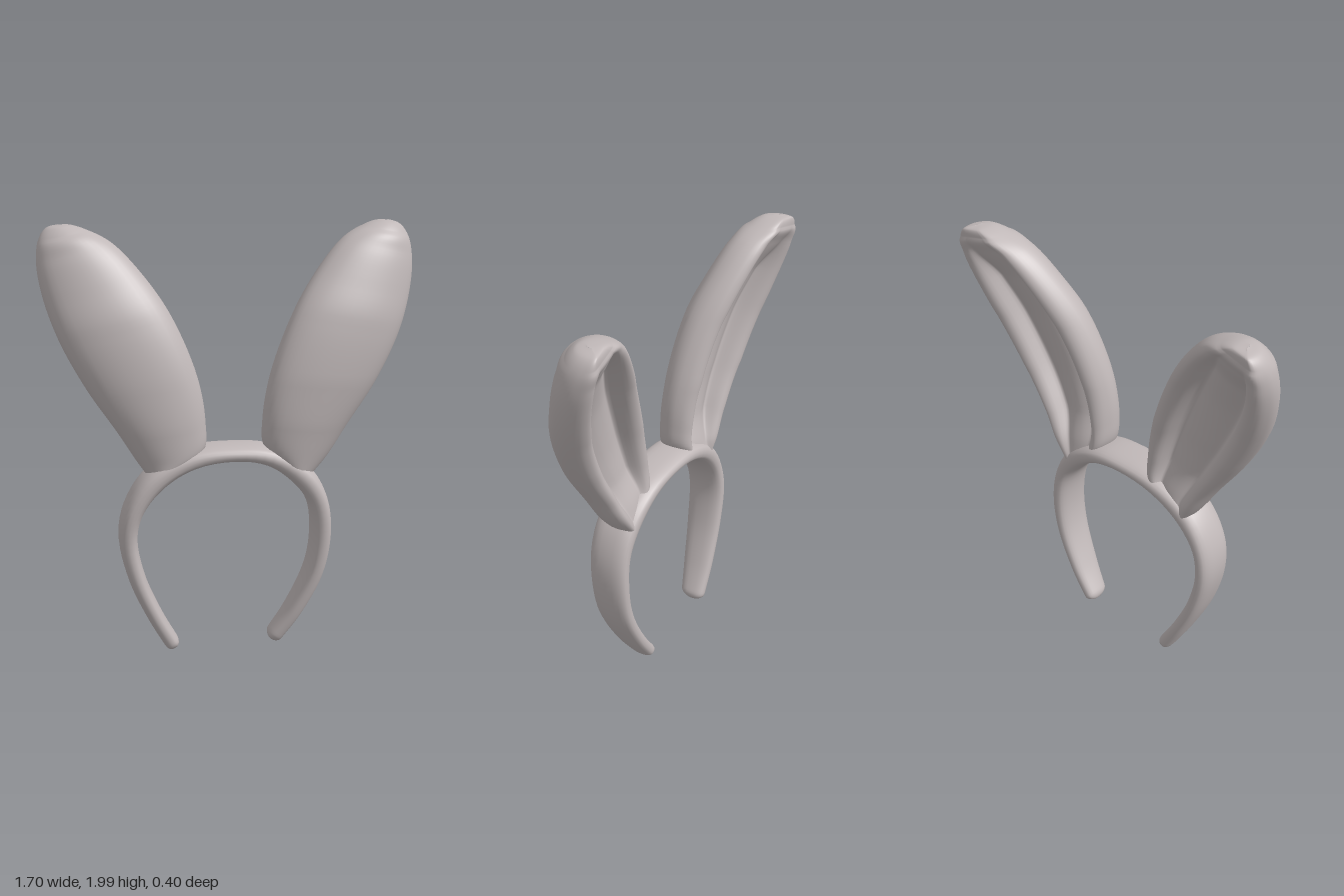
import * as THREE from 'three';

const greyPink = new THREE.MeshStandardMaterial({ color: 0xc0b8b8 });
greyPink.name = 'greyPink';

const v = (x, y, z) => new THREE.Vector3(x, y, z);

// Smooth skin over a list of closed rings, each a list of points
function loft(rings, name) {
  const n = rings[0].length, index = [];
  for (let i = 0; i < rings.length - 1; i++) {
    for (let j = 0; j < n; j++) {
      const k = (j + 1) % n;
      const a = i * n + j, b = i * n + k, c = a + n, d = b + n;
      index.push(a, b, d, a, d, c);
    }
  }
  const geo = new THREE.BufferGeometry().setFromPoints(rings.flat());
  geo.setIndex(index);
  geo.computeVertexNormals();
  const mesh = new THREE.Mesh(geo, greyPink);
  mesh.name = name;
  return mesh;
}

// Headband: x, y, depth centre, half thickness, half depth
const BAND = [
  [-0.275, 0.01, 0.012, 0.035, 0.06],
  [-0.37, 0.19, 0.03, 0.036, 0.078],
  [-0.455, 0.4, 0.047, 0.039, 0.09],
  [-0.49, 0.6, 0.055, 0.042, 0.095],
  [-0.46, 0.74, 0.063, 0.046, 0.098],
  [-0.36, 0.875, 0.064, 0.053, 0.102],
  [-0.2, 0.96, 0.06, 0.046, 0.102],
  [0, 0.982, 0.06, 0.038, 0.102],
  [0.17, 0.955, 0.06, 0.045, 0.102],
  [0.313, 0.86, 0.064, 0.053, 0.102],
  [0.39, 0.74, 0.063, 0.046, 0.098],
  [0.415, 0.58, 0.055, 0.044, 0.095],
  [0.39, 0.39, 0.047, 0.041, 0.09],
  [0.297, 0.18, 0.03, 0.037, 0.078],
  [0.19, 0.015, 0.012, 0.034, 0.06],
];

function headband() {
  const path = new THREE.CatmullRomCurve3(BAND.map(p => v(p[0], p[1], p[2])));
  const size = new THREE.CatmullRomCurve3(BAND.map(p => v(p[3], p[4], 0)));
  const rings = [], steps = 90, sides = 24;
  const soft = c => Math.sign(c) * Math.pow(Math.abs(c), 0.8);
  for (let i = 0; i <= steps; i++) {
    // steps bunch up at both ends so the tips come out round
    const t = (1 - Math.cos((Math.PI * i) / steps)) / 2;
    const p = path.getPoint(t), s = size.getPoint(t), d = path.getTangent(t);
    const e = Math.min(1, Math.min(t, 1 - t) / 0.014);
    const round = Math.max(0.001, Math.sqrt(1 - (1 - e) ** 2));
    const ring = [];
    for (let j = 0; j < sides; j++) {
      const a = (j / sides) * Math.PI * 2;
      const r = soft(Math.cos(a)) * s.x * round, w = soft(Math.sin(a)) * s.y * round;
      ring.push(v(p.x - d.y * r, p.y + d.x * r, p.z + w));
    }
    rings.push(ring);
  }
  return loft(rings, 'headband');
}

// Ear sections from base to tip:
// inner x, y, outer x, y, depth centre, half depth, hollowness of the back
const EAR = [
  [0.235, 0.9, 0.345, 0.835, 0.065, 0.09, 0],
  [0.14, 1.0, 0.437, 0.945, 0.072, 0.1, 0.4],
  [0.13, 1.13, 0.525, 1.09, 0.085, 0.104, 0.9],
  [0.165, 1.34, 0.655, 1.29, 0.085, 0.112, 1],
  [0.275, 1.61, 0.768, 1.51, 0.053, 0.118, 1],
  [0.4, 1.795, 0.83, 1.7, -0.003, 0.115, 0.9],
  [0.52, 1.92, 0.848, 1.84, -0.05, 0.104, 0.3],
  [0.62, 1.972, 0.834, 1.93, -0.083, 0.083, 0],
  [0.69, 1.993, 0.8, 1.978, -0.105, 0.056, 0],
  [0.745, 1.995, 0.747, 1.995, -0.112, 0.002, 0],
];

// Half of the section: front cushion, then the padded rim, groove and puffed
// inner panel of the back as [across, full, hollow]
const FRONT = [[-1, -0.1], [-0.94, 0.33], [-0.72, 0.7], [-0.37, 0.93], [0, 1]];
const BACK = [
  [0.97, -0.45, -0.45], [0.88, -0.8, -0.8], [0.74, -0.96, -0.96],
  [0.6, -0.99, -0.82], [0.5, -1, -0.42], [0.42, -1, -0.12],
  [0.3, -1, -0.2], [0.12, -1, -0.3],
];

function earSection(hollow) {
  const back = BACK.map(([u, full, deep]) => [u, full + (deep - full) * hollow]);
  const flip = list => list.map(([u, w]) => [-u, w]).reverse();
  const points = [...FRONT, ...flip(FRONT.slice(0, 4)), ...back, ...flip(back)];
  return new THREE.CatmullRomCurve3(points.map(([u, w]) => v(u, w, 0)), true).getPoints(64).slice(0, 64);
}

// The foot of each ear is moved by footX, footY to sit inside the headband;
// the inner edge of the ear turns slightly forward
function ear(side, zShift, footX, footY, name) {
  const turn = 0.012;
  const rows = EAR.map(([ax, ay, bx, by, ...rest], i) =>
    i ? [ax, ay, bx, by, ...rest] : [ax + footX, ay + footY, bx + footX, by + footY, ...rest]);
  const curve = pick => new THREE.CatmullRomCurve3(rows.map(pick));
  const inner = curve(s => v(side * s[0], s[1], s[4] + turn));
  const outer = curve(s => v(side * s[2], s[3], s[4] - turn));
  const depth = curve(s => v(s[5], s[6], 0));
  const [from, to] = side > 0 ? [inner, outer] : [outer, inner];
  const rings = [], steps = 63;
  for (let i = 0; i <= steps; i++) {
    const t = i / steps;
    const a = from.getPoint(t), b = to.getPoint(t), d = depth.getPoint(t);
    const shift = zShift * Math.min(1, t * 3);
    rings.push(earSection(THREE.MathUtils.clamp(d.y, 0, 1)).map(q => {
      const p = a.clone().lerp(b, (q.x + 1) / 2);
      p.z += q.y * d.x + shift;
      return p;
    }));
  }
  return loft(rings, name);
}

export function createModel() {
  const group = new THREE.Group();
  group.name = 'earHeadband';
  group.add(
    headband(),
    ear(1, 0, 0, 0, 'leftEar'),
    ear(-1, -0.03, 0.04, 0.035, 'rightEar'),
  );
  return group;
}
